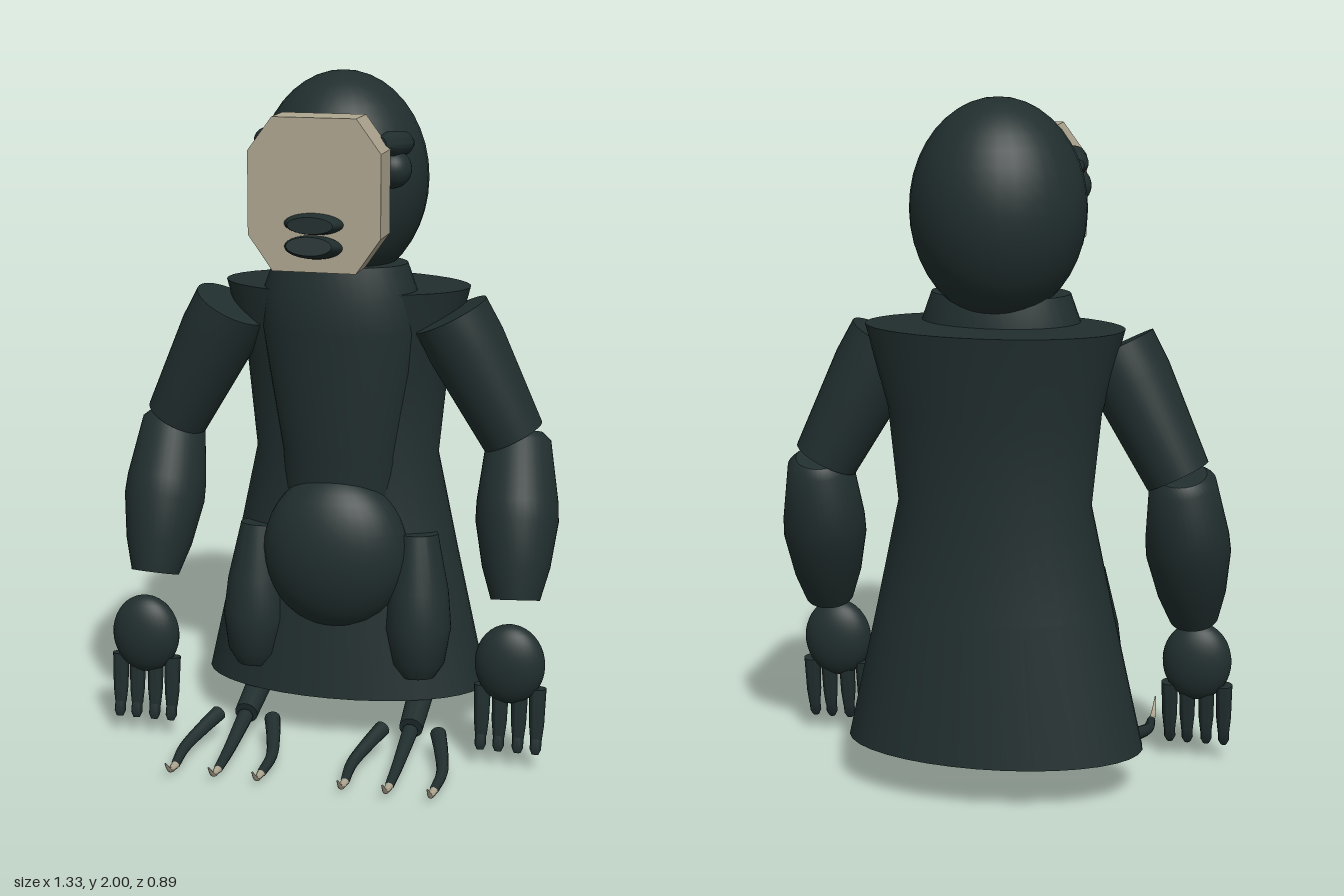
import * as THREE from 'three';
import { toCreasedNormals } from 'three/addons/utils/BufferGeometryUtils.js';

const fur = new THREE.MeshStandardMaterial({ color: 0x212e2e });
fur.name = 'dark fur';
const bone = new THREE.MeshStandardMaterial({ color: 0xaea690 });
bone.name = 'bone';

const V = (x, y, z) => new THREE.Vector3(x, y, z);

function add(parent, name, geometry, material = fur) {
  const mesh = new THREE.Mesh(geometry, material);
  mesh.name = name;
  parent.add(mesh);
  return mesh;
}

// Ellipsoid from centre and radii
function oval(parent, name, centre, radii) {
  const mesh = add(parent, name, new THREE.SphereGeometry(1, 32, 20));
  mesh.position.set(...centre);
  mesh.scale.set(...radii);
  return mesh;
}

// Closed lathe from [radius, y] pairs, bottom to top
function turned(profile) {
  const pts = [[0, profile[0][1]], ...profile, [0, profile.at(-1)[1]]];
  return toCreasedNormals(
    new THREE.LatheGeometry(pts.map(([r, y]) => new THREE.Vector2(r, y)), 36), 0.75);
}

// Turned limb from point a to point b; profile is [radius, fraction of length]
function limb(parent, name, a, b, profile, material = fur) {
  const dir = b.clone().sub(a);
  const len = dir.length();
  const mesh = add(parent, name, turned(profile.map(([r, t]) => [r, t * len])), material);
  mesh.position.copy(a);
  mesh.quaternion.setFromUnitVectors(V(0, 1, 0), dir.normalize());
  return mesh;
}

// Curved tube whose radius runs from r0 to r1
function taper(parent, name, points, r0, r1, material = fur) {
  const curve = new THREE.CatmullRomCurve3(points);
  const rings = 14, sides = 12;
  const geo = new THREE.TubeGeometry(curve, rings, 1, sides);
  const pos = geo.attributes.position, p = V(0, 0, 0);
  for (let i = 0; i < pos.count; i++) {
    const t = Math.floor(i / (sides + 1)) / rings;
    const c = curve.getPointAt(t);
    p.fromBufferAttribute(pos, i).sub(c).multiplyScalar(r0 + (r1 - r0) * t).add(c);
    pos.setXYZ(i, p.x, p.y, p.z);
  }
  geo.computeVertexNormals();
  return add(parent, name, geo, material);
}

function buildHead(root) {
  const head = new THREE.Group();
  head.name = 'head';
  root.add(head);
  oval(head, 'skull', [0, 1.69, -0.145], [0.25, 0.31, 0.24]);

  // Eight-sided face plate
  const face = new THREE.Shape([
    [-0.12, 1.47], [0.12, 1.47], [0.19, 1.57], [0.19, 1.805],
    [0.12, 1.9], [-0.12, 1.9], [-0.19, 1.805], [-0.19, 1.57],
  ].map(([x, y]) => new THREE.Vector2(x, y)));
  const plate = new THREE.ExtrudeGeometry(face, { depth: 0.12, bevelEnabled: false });
  add(head, 'facePlate', plate, bone).position.z = 0.09;

  // Jaws pass through the plate
  limb(head, 'upperJaw', V(0, 1.6, 0.04), V(0, 1.608, 0.255),
    [[0.06, 0], [0.085, 0.3], [0.085, 0.8], [0.065, 1]]).scale.z = 0.36;
  limb(head, 'lowerJaw', V(0, 1.505, 0.03), V(0, 1.553, 0.27),
    [[0.06, 0], [0.085, 0.3], [0.082, 0.8], [0.065, 1]]).scale.z = 0.4;

  for (const s of [-1, 1]) {
    oval(head, 'eye', [s * 0.18, 1.74, 0.015], [0.055, 0.055, 0.055]);
    limb(head, 'brow', V(s * 0.21, 1.805, -0.065), V(s * 0.16, 1.82, 0.115),
      [[0.018, 0], [0.034, 0.2], [0.036, 0.6], [0.02, 0.94]]);
    limb(head, 'fang', V(s * 0.05, 1.585, 0.055), V(s * 0.05, 1.53, 0.055),
      [[0.012, 0], [0.002, 1]], bone);
  }
}

function buildTorso(root) {
  const back = add(root, 'body', turned(
    [[0.435, 0.14], [0.345, 0.55], [0.28, 0.86], [0.307, 1.13], [0.37, 1.37]]));
  back.scale.z = 0.55;
  back.position.z = -0.203;

  const chest = add(root, 'chestAndNeck', turned(
    [[0.165, 0.7], [0.175, 0.88], [0.235, 1.25], [0.232, 1.36], [0.2, 1.45]]));
  chest.scale.z = 0.65;
  chest.position.z = -0.11;

  oval(root, 'belly', [0, 0.58, -0.05], [0.22, 0.24, 0.14]);
}

function buildArm(root, s) {
  const arm = new THREE.Group();
  arm.name = s > 0 ? 'leftArm' : 'rightArm';
  root.add(arm);
  limb(arm, 'upperArm', V(s * 0.515, 0.945, -0.135), V(s * 0.33, 1.305, -0.108),
    [[0.095, 0], [0.117, 0.75], [0.115, 1]]);
  limb(arm, 'forearm', V(s * 0.553, 0.485, 0), V(s * 0.53, 0.94, -0.15),
    [[0.072, 0], [0.1, 0.2], [0.122, 0.48], [0.12, 0.6], [0.095, 0.98], [0.07, 1.03]]);
  oval(arm, 'palm', [s * 0.555, 0.32, 0.09], [0.103, 0.12, 0.06]);

  // Four hanging fingers with short tips
  [0.475, 0.528, 0.585, 0.638].forEach((x) => {
    limb(arm, 'finger', V(s * x, 0.095, 0.1), V(s * x, 0.25, 0.085),
      [[0.017, 0], [0.022, 0.3], [0.025, 1]]);
    limb(arm, 'fingertip', V(s * x, 0.055, 0.112), V(s * x, 0.105, 0.1),
      [[0.01, 0], [0.017, 0.3], [0.016, 1]]);
  });
}

function buildLeg(root, s) {
  const leg = new THREE.Group();
  leg.name = s > 0 ? 'leftLeg' : 'rightLeg';
  root.add(leg);
  limb(leg, 'thigh', V(s * 0.255, 0.205, -0.045), V(s * 0.243, 0.64, -0.09),
    [[0.05, 0], [0.08, 0.1], [0.1, 0.35], [0.092, 0.6], [0.06, 1]]);
  limb(leg, 'shin', V(s * 0.255, 0.075, 0.05), V(s * 0.25, 0.16, -0.22),
    [[0.035, 0], [0.042, 1]]);

  // Three long toes with upturned claws; d is the sideways spread
  for (const d of [-1, 0, 1]) {
    const at = (spread, y, z) => V(s * (0.255 + d * spread), y, z);
    taper(leg, 'toe', [at(0.085, 0.07, 0.06), at(0.112, 0.05, 0.15),
      at(0.134, 0.03, 0.25), at(0.13, 0.017, 0.355)], 0.024, 0.013);
    taper(leg, 'claw', [at(0.13, 0.017, 0.35), at(0.13, 0.022, 0.4),
      at(0.13, 0.064, 0.449)], 0.012, 0.002, bone);
  }
}

export function createModel() {
  const root = new THREE.Group();
  root.name = 'clawedCreature';
  buildHead(root);
  buildTorso(root);
  for (const s of [-1, 1]) {
    buildArm(root, s);
    buildLeg(root, s);
  }
  return root;
}
